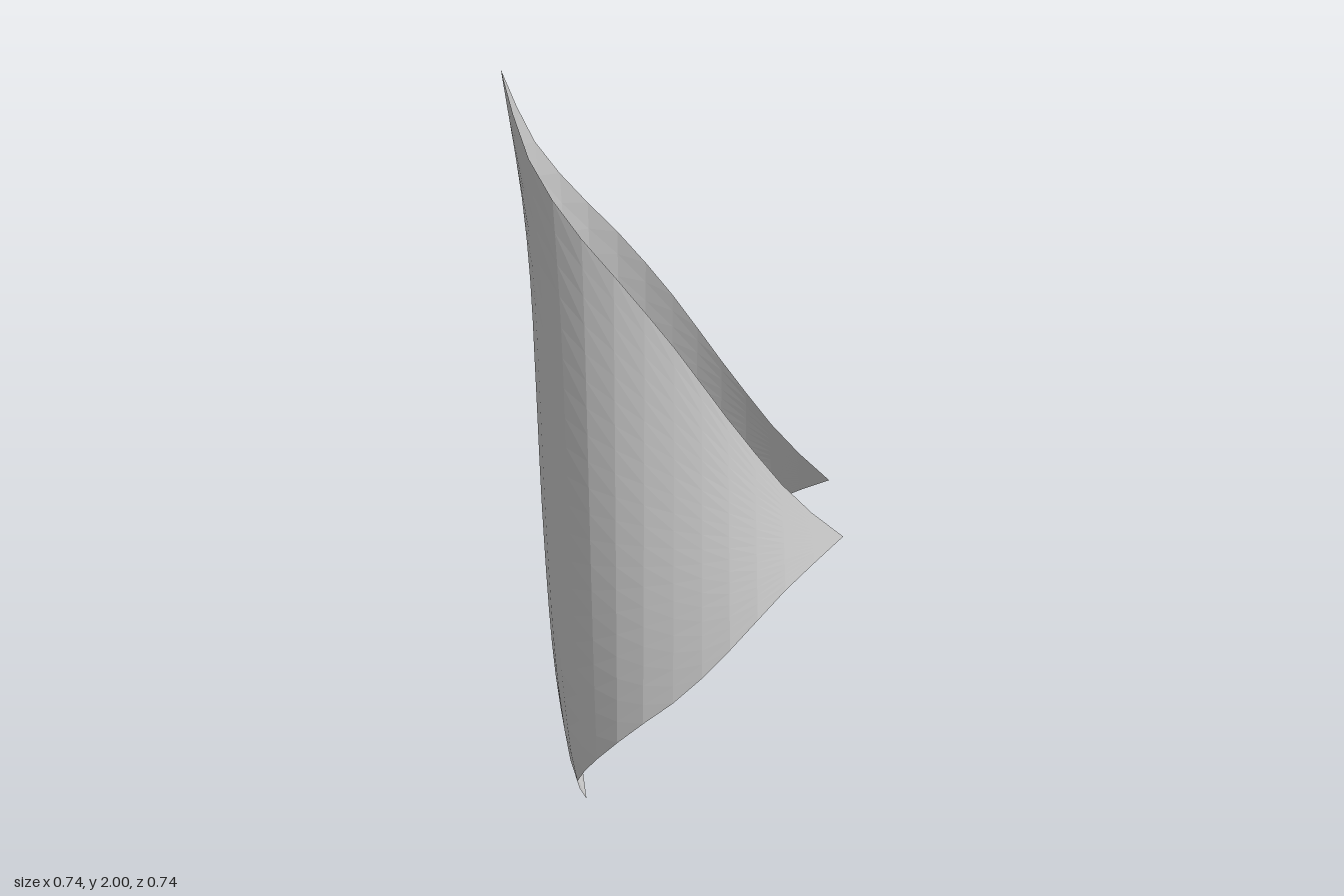
import * as THREE from 'three';

const COLS = 13, ROWS = 20;
const curve = (pts) => new THREE.CatmullRomCurve3(pts.map((p) => new THREE.Vector3(...p)));

// Upper and lower hems of one half, from the spine to the side corner
const upperHem = curve([
  [-0.325, 2, 0.325], [-0.265, 1.9, 0.342], [-0.2, 1.8, 0.35], [-0.1, 1.68, 0.332], [0, 1.56, 0.283],
  [0.1, 1.4, 0.2], [0.2, 1.2, 0.1], [0.3, 1.0, -0.02], [0.372, 0.885, -0.123],
]);
const lowerHem = curve([
  [-0.225, 0, 0.225], [-0.2, 0.06, 0.266], [-0.155, 0.13, 0.32], [-0.09, 0.21, 0.353], [0, 0.31, 0.373],
  [0.1, 0.42, 0.345], [0.2, 0.53, 0.272], [0.28, 0.66, 0.175], [0.33, 0.78, 0.05], [0.372, 0.885, -0.123],
]);

// How far the spine bows out from a straight line, by height fraction
const bow = curve([
  [0, 0, 0], [0.05, 0.018, 0], [0.13, 0.028, 0], [0.23, 0.031, 0], [0.43, 0.02, 0],
  [0.62, 0.003, 0], [0.75, -0.008, 0], [0.85, -0.01, 0], [1, 0, 0],
]).getPoints(160);
function bowAt(v) {
  const i = Math.max(1, bow.findIndex((p) => p.x >= v - 1e-6));
  const a = bow[i - 1], b = bow[i];
  return THREE.MathUtils.mapLinear(v, a.x, b.x, a.y, b.y);
}

// Point of the sheet: u runs from the spine to the side corner, v from bottom to top
function sheetPoint(u, v) {
  const p = lowerHem.getPointAt(u).lerp(upperHem.getPointAt(u), v);
  const d = bowAt(v) * Math.max(0, 1 - u / 0.35) ** 1.5;
  p.x -= d;
  p.z += d;
  return p;
}

export function createModel() {
  const positions = [], index = [];
  // Columns run across both halves; the second half mirrors over the plane z = -x
  for (let c = -COLS; c <= COLS; c++) {
    for (let r = 0; r <= ROWS; r++) {
      const p = sheetPoint(Math.abs(c) / COLS, r / ROWS);
      if (c < 0) positions.push(-p.z, p.y, -p.x);
      else positions.push(p.x, p.y, p.z);
    }
  }
  for (let c = 0; c < 2 * COLS; c++) {
    for (let r = 0; r < ROWS; r++) {
      const a = c * (ROWS + 1) + r, b = a + ROWS + 1;
      // The end columns shrink to a point, so they take one triangle per row
      if (c > 0) index.push(a, b, a + 1);
      if (c < 2 * COLS - 1) index.push(b, b + 1, a + 1);
    }
  }
  const geometry = new THREE.BufferGeometry();
  geometry.setAttribute('position', new THREE.Float32BufferAttribute(positions, 3));
  geometry.setIndex(index);
  geometry.computeVertexNormals();

  const sheet = new THREE.Mesh(geometry, new THREE.MeshStandardMaterial({
    color: 0xcccccc, flatShading: true, side: THREE.DoubleSide,
  }));
  sheet.name = 'curledSheet';

  const group = new THREE.Group();
  group.name = 'curledLeaf';
  group.add(sheet);
  return group;
}
